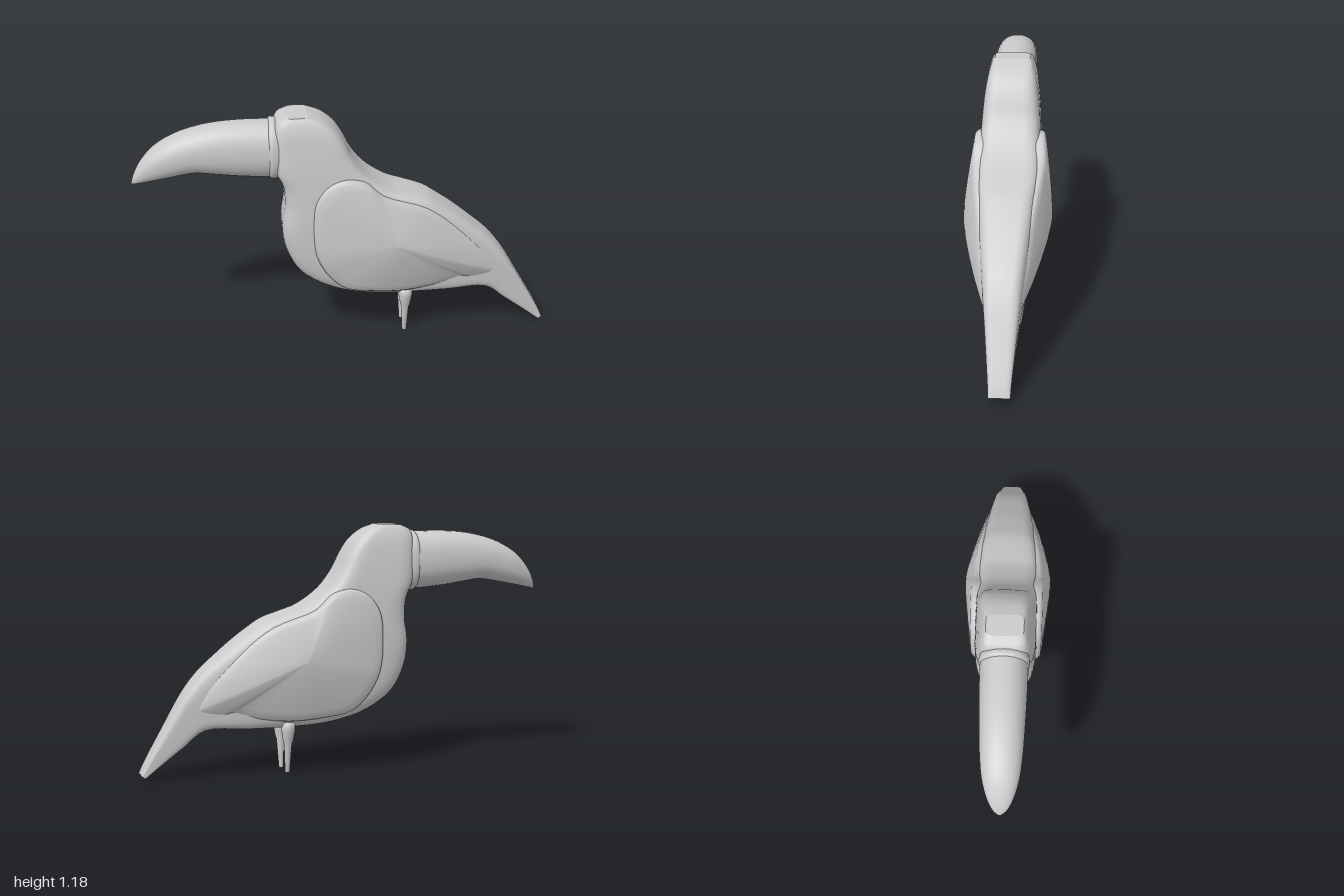
import * as THREE from 'three';

const material = new THREE.MeshStandardMaterial({ color: 0xcccccc });

// Skin a list of closed rings (each turning right-handed about the direction of travel), with flat caps.
function skin(name, rings) {
  const pos = [], index = [], n = rings[0].length;
  const put = (p) => pos.push(p.x, p.y, p.z) / 3 - 1;
  rings.forEach((ring) => ring.forEach(put));
  for (let i = 0; i < rings.length - 1; i++) {
    for (let j = 0; j < n; j++) {
      const a = i * n + j, b = i * n + (j + 1) % n;
      index.push(a, b, a + n, b, b + n, a + n);
    }
  }
  const cap = (ring, end) => {
    const mid = new THREE.Vector3();
    ring.forEach((p) => mid.addScaledVector(p, 1 / n));
    const c = put(mid);
    ring.forEach(put);
    for (let j = 0; j < n; j++) {
      const a = c + 1 + j, b = c + 1 + (j + 1) % n;
      if (end) index.push(c, a, b);
      else index.push(c, b, a);
    }
  };
  cap(rings[0], false);
  cap(rings[rings.length - 1], true);
  const geo = new THREE.BufferGeometry();
  geo.setAttribute('position', new THREE.Float32BufferAttribute(pos, 3));
  geo.setIndex(index);
  geo.computeVertexNormals();
  const mesh = new THREE.Mesh(geo, material);
  mesh.name = name;
  return mesh;
}

// Loft superellipse sections; each station is [ax, ay, bx, by, halfWidth].
function loft(name, stations, power, steps, sides) {
  const A = new THREE.CatmullRomCurve3(stations.map((s) => new THREE.Vector3(s[0], s[1], s[4])));
  const B = new THREE.CatmullRomCurve3(stations.map((s) => new THREE.Vector3(s[2], s[3], s[4])));
  const bend = (v) => Math.sign(v) * Math.abs(v) ** (2 / power);
  const rings = [];
  for (let i = 0; i <= steps; i++) {
    const a = A.getPoint(i / steps), b = B.getPoint(i / steps);
    const ring = [];
    for (let j = 0; j < sides; j++) {
      const t = (j / sides) * Math.PI * 2;
      const u = bend(Math.cos(t)) / 2;
      ring.push(new THREE.Vector3(
        (a.x + b.x) / 2 + u * (a.x - b.x),
        (a.y + b.y) / 2 + u * (a.y - b.y),
        a.z * bend(Math.sin(t))));
    }
    rings.push(ring);
  }
  return skin(name, rings);
}

// Wing: a raised pad with a rounded rim and a ridge rising to one peak.
function wing(name, side) {
  const outline = [
    [-0.155, 0.65], [-0.14, 0.48], [-0.08, 0.36], [0, 0.29], [0.14, 0.265], [0.3, 0.255],
    [0.45, 0.27], [0.58, 0.295], [0.66, 0.28], [0.765, 0.295], [0.78, 0.31], [0.7, 0.425], [0.53, 0.6],
    [0.38, 0.71], [0.18, 0.785], [0.09, 0.86], [0, 0.88], [-0.08, 0.85], [-0.14, 0.77],
  ].map(([x, y]) => new THREE.Vector3(x, y, 0));
  const points = new THREE.CatmullRomCurve3(outline, true).getPoints(76).slice(0, -1);
  const cx = 0.24, cy = 0.55, peak = 0.21;
  const rimZ = (p) => 0.167 - 0.075 * THREE.MathUtils.smoothstep(p.x, 0.1, 0.85)
    - 0.025 * (1 - THREE.MathUtils.smoothstep(p.y, 0.25, 0.5));
  // Each row: outline scale, drop below the rim, blend towards the peak.
  const rows = [[1, 0.09, 0], [1, 0.028, 0], [0.985, 0.01, 0], [0.95, 0, 0.03], [0.85, 0, 0.19],
    [0.65, 0, 0.45], [0.45, 0, 0.67], [0.25, 0, 0.86], [0.1, 0, 0.96], [0.02, 0, 1]];
  const rings = rows.map(([s, drop, k]) => {
    const ring = points.map((p) => new THREE.Vector3(
      cx + (p.x - cx) * s, cy + (p.y - cy) * s,
      side * (THREE.MathUtils.lerp(rimZ(p), peak, k) - drop)));
    return side > 0 ? ring : ring.reverse();
  });
  return skin(name, rings);
}

// Leg: a thick thigh stepping down to a thin shank.
function leg(name, side) {
  const profile = [[0, 0], [0.011, 0], [0.019, 0.14], [0.024, 0.155], [0.033, 0.21], [0.033, 0.25], [0, 0.26]];
  const geo = new THREE.LatheGeometry(profile.map(([x, y]) => new THREE.Vector2(x, y)), 16);
  const mesh = new THREE.Mesh(geo, material);
  mesh.name = name;
  mesh.position.set(0.3, 0, side * 0.057);
  mesh.rotation.x = side * 0.09;
  return mesh;
}

export function createModel() {
  const bird = new THREE.Group();
  bird.name = 'bird';

  // Head, breast, back and tail: back edge, front edge, half width
  bird.add(loft('body', [
    [-0.17, 1.177, -0.27, 1.175, 0.085],
    [-0.10, 1.15, -0.315, 1.152, 0.1],
    [-0.04, 1.10, -0.33, 1.10, 0.117],
    [0, 1.04, -0.33, 1.0, 0.129],
    [0.04, 0.96, -0.322, 0.9, 0.138],
    [0.11, 0.87, -0.292, 0.83, 0.143],
    [0.22, 0.795, -0.285, 0.73, 0.146],
    [0.31, 0.765, -0.3, 0.62, 0.147],
    [0.40, 0.735, -0.285, 0.5, 0.145],
    [0.48, 0.685, -0.22, 0.375, 0.14],
    [0.55, 0.635, -0.09, 0.285, 0.132],
    [0.63, 0.57, 0.08, 0.235, 0.12],
    [0.70, 0.51, 0.28, 0.22, 0.107],
    [0.75, 0.455, 0.5, 0.22, 0.095],
    [0.80, 0.385, 0.70, 0.222, 0.083],
    [0.89, 0.23, 0.80, 0.147, 0.068],
    [0.98, 0.07, 0.92, 0.056, 0.053],
    [1.0, 0.025, 0.98, 0.01, 0.05],
  ], 5, 68, 40));

  // Beak: lower edge, upper edge, half width
  bird.add(loft('beak', [
    [-0.28, 0.865, -0.28, 1.14, 0.11],
    [-0.36, 0.862, -0.36, 1.14, 0.11],
    [-0.5, 0.872, -0.5, 1.14, 0.108],
    [-0.6, 0.885, -0.64, 1.127, 0.104],
    [-0.7, 0.897, -0.78, 1.088, 0.098],
    [-0.82, 0.878, -0.89, 1.025, 0.085],
    [-0.92, 0.858, -0.96, 0.945, 0.058],
    [-0.975, 0.846, -0.99, 0.885, 0.03],
    [-0.998, 0.84, -1.0, 0.85, 0.004],
  ], 2.3, 48, 32));

  // Soft ridge where the beak meets the face
  bird.add(loft('beakCollar', [
    [-0.30, 0.86, -0.30, 1.14, 0.11],
    [-0.325, 0.855, -0.325, 1.147, 0.115],
    [-0.342, 0.855, -0.342, 1.147, 0.115],
    [-0.355, 0.868, -0.355, 1.135, 0.107],
  ], 2.5, 9, 32));

  for (const [label, side] of [['front', 1], ['back', -1]]) {
    bird.add(wing(label + 'Wing', side), leg(label + 'Leg', side));
  }
  return bird;
}
